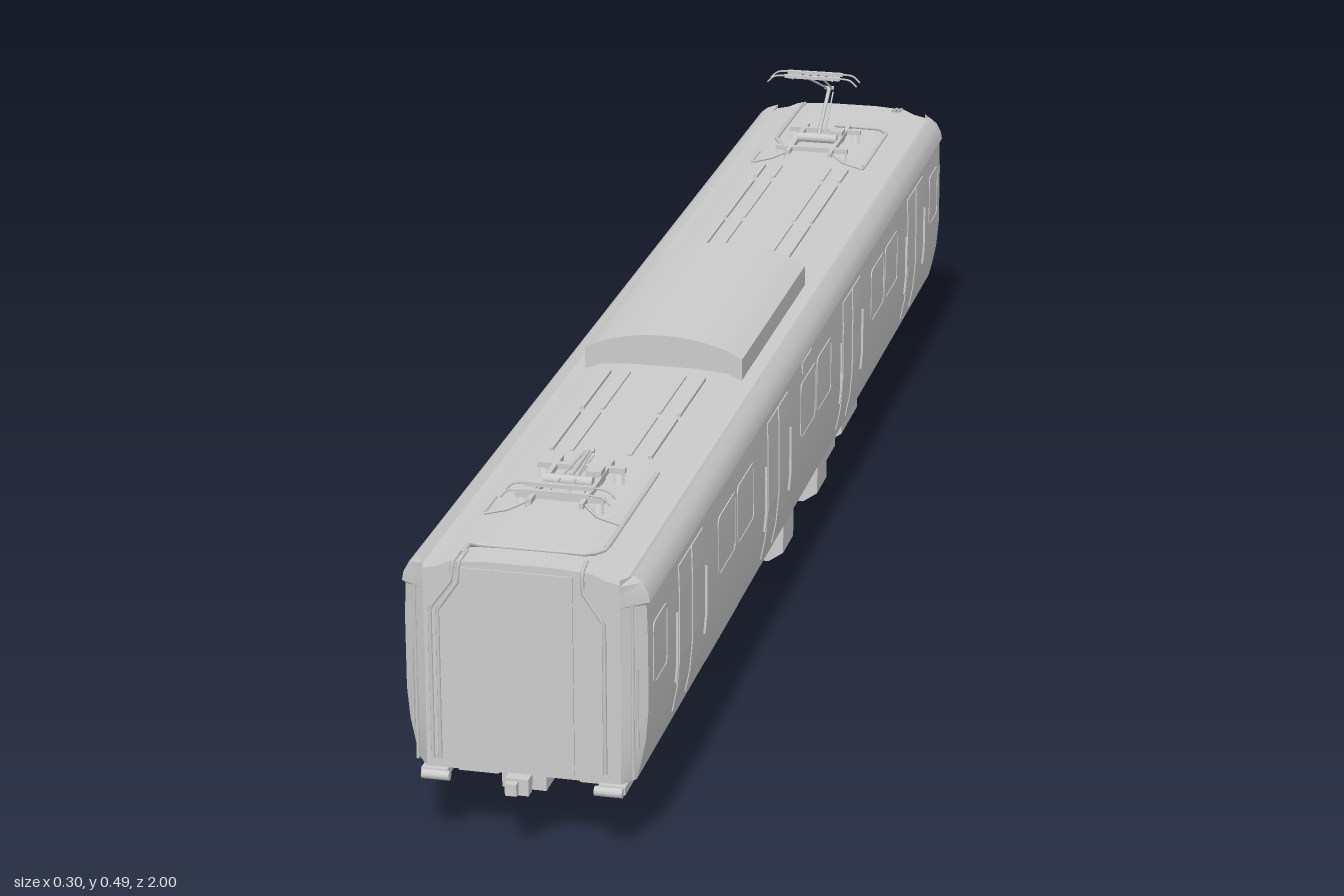
import * as THREE from 'three';
import { toCreasedNormals } from 'three/addons/utils/BufferGeometryUtils.js';

const mat = new THREE.MeshStandardMaterial({ color: 0xcccccc, side: THREE.DoubleSide });

// Right half of the body cross-section, bottom to top
const HALF = [[0.132, 0.095], [0.137, 0.115], [0.143, 0.145], [0.1465, 0.185], [0.1465, 0.27], [0.145, 0.318],
  [0.149, 0.321], [0.147, 0.332], [0.14, 0.345], [0.13, 0.353], [0.122, 0.347], [0.1, 0.351], [0.085, 0.358], [0.04, 0.361]];

function sideX(y) {
  for (let i = 0; i < 5; i++) {
    const [a, b] = [HALF[i], HALF[i + 1]];
    if (y <= b[1]) return a[0] + (b[0] - a[0]) * (y - a[1]) / (b[1] - a[1]);
  }
  return HALF[5][0];
}

function add(parent, name, geo, x = 0, y = 0, z = 0) {
  const m = new THREE.Mesh(geo, mat);
  m.name = name;
  m.position.set(x, y, z);
  parent.add(m);
  return m;
}
// Box given by its limits
function box(parent, name, x0, x1, y0, y1, z0, z1) {
  return add(parent, name, new THREE.BoxGeometry(x1 - x0, y1 - y0, z1 - z0), (x0 + x1) / 2, (y0 + y1) / 2, (z0 + z1) / 2);
}
function group(parent, name, z = 0) {
  const g = new THREE.Group();
  g.name = name;
  g.position.z = z;
  parent.add(g);
  return g;
}
const shapeOf = pts => new THREE.Shape(pts.map(p => new THREE.Vector2(p[0], p[1])));
function extrude(pts, z0, z1, steps = 1) {
  const g = new THREE.ExtrudeGeometry(shapeOf(pts), { depth: z1 - z0, bevelEnabled: false, steps });
  return g.translate(0, 0, z0);
}
// Straight-segment pipe through points
function pipe(parent, name, r, pts) {
  const path = new THREE.CurvePath();
  const v = pts.map(p => new THREE.Vector3(...p));
  for (let i = 0; i < v.length - 1; i++) path.add(new THREE.LineCurve3(v[i], v[i + 1]));
  return add(parent, name, new THREE.TubeGeometry(path, (v.length - 1) * 8, r, 6));
}
const discX = (r, w, n = 24) => new THREE.CylinderGeometry(r, r, w, n).rotateZ(Math.PI / 2);

// Body shell with chamfered ends
function body(root) {
  const pts = [...HALF, ...HALF.slice().reverse().map(([x, y]) => [-x, y])];
  const g = extrude(pts, 0, 3, 3);
  const p = g.attributes.position;
  const levels = [-0.967, -0.948, 0.948, 0.967];
  for (let i = 0; i < p.count; i++) {
    const k = Math.round(p.getZ(i));
    p.setZ(i, levels[k]);
    if (k === 0 || k === 3) p.setX(i, THREE.MathUtils.clamp(p.getX(i), -0.118, 0.118));
  }
  add(root, 'bodyShell', toCreasedNormals(g, 0.45));
}

// Thin strip following the curve of the side wall
function sideStrip(parent, name, s, z0, z1, y0, y1, t = 0.0015) {
  const ys = [y0, ...HALF.map(p => p[1]).filter(y => y > y0 && y < y1), y1];
  const pts = [...ys.map(y => [s * (sideX(y) + t), y]), ...ys.reverse().map(y => [s * (sideX(y) - 0.002), y])];
  add(parent, name, extrude(pts, z0, z1));
}
function windowFrame(parent, s, z0, z1, y0 = 0.205, y1 = 0.285) {
  const round = (o, a, b, c, d, r) => {
    o.moveTo(a + r, c); o.lineTo(b - r, c); o.quadraticCurveTo(b, c, b, c + r);
    o.lineTo(b, d - r); o.quadraticCurveTo(b, d, b - r, d);
    o.lineTo(a + r, d); o.quadraticCurveTo(a, d, a, d - r);
    o.lineTo(a, c + r); o.quadraticCurveTo(a, c, a + r, c);
    return o;
  };
  const f = round(new THREE.Shape(), z0, z1, y0, y1, 0.012);
  f.holes.push(round(new THREE.Path(), z0 + 0.003, z1 - 0.003, y0 + 0.003, y1 - 0.003, 0.01));
  const g = new THREE.ExtrudeGeometry(f, { depth: 0.002, bevelEnabled: false, curveSegments: 4 }).rotateY(-Math.PI / 2);
  add(parent, 'windowFrame', g, s * 0.1465 + 0.001);
}
function sides(root) {
  for (const s of [-1, 1]) {
    const g = group(root, s > 0 ? 'leftSide' : 'rightSide');
    for (const z of [-0.735, -0.245, 0.245, 0.735]) {
      for (const d of [-1, 1]) {
        const a = z + d * 0.001, b = z + d * 0.062;
        sideStrip(g, 'doorLeaf', s, Math.min(a, b), Math.max(a, b), 0.115, 0.305);
        sideStrip(g, 'doorHandrail', s, z + d * 0.075 - 0.0015, z + d * 0.075 + 0.0015, 0.16, 0.25, 0.003);
        windowFrame(g, s, z + d * 0.03 - 0.02, z + d * 0.03 + 0.02, 0.2, 0.28);
      }
      sideStrip(g, 'doorSeal', s, z - 0.0015, z + 0.0015, 0.115, 0.305, 0.003);
    }
    for (const z of [-0.49, 0, 0.49]) for (const d of [-0.053, 0.053]) windowFrame(g, s, z + d - 0.049, z + d + 0.049);
    for (const z of [-0.89, 0.89]) windowFrame(g, s, z - 0.035, z + 0.035);
    sideStrip(g, 'destinationPanel', s, 0.03, 0.09, 0.297, 0.312);
  }
}

// Roof cooling unit and ribbed walkways
function roof(root) {
  const pts = [[-0.105, 0.348], [0.105, 0.348], [0.105, 0.378]];
  for (let i = 1; i <= 16; i++) {
    const t = i / 8 - 1;
    pts.push([-0.1 * t, 0.403 - 0.021 * Math.abs(t) ** 2.2]);
  }
  pts.push([-0.105, 0.378]);
  add(root, 'coolingUnit', toCreasedNormals(extrude(pts, -0.12, 0.275), 0.5));
  const g = group(root, 'roofWalkways');
  for (const [z0, z1] of [[-0.62, -0.56], [-0.54, -0.36], [-0.345, -0.165], [0.31, 0.45], [0.465, 0.6]])
    for (const x of [-0.063, -0.037, 0.037, 0.063]) {
      box(g, 'walkwayRail', x - 0.0025, x + 0.0025, 0.357, 0.3635, z0, z1);
    }
}

// End wall panel, rails, cables and coupler; built for +z and turned for the back
function endWall(root, turn) {
  const g = group(root, turn ? 'backEnd' : 'frontEnd');
  g.rotation.y = turn;
  box(g, 'gangwayPanel', -0.075, 0.062, 0.1, 0.352, 0.96, 0.969);
  for (const s of [-1, 1]) {
    pipe(g, 'cornerRail', 0.002, [[s * 0.131, 0.1, 0.96], [s * 0.131, 0.322, 0.96]]);
    pipe(g, 'grabRail', 0.0018, [[s * 0.136, 0.14, 0.958], [s * 0.136, 0.24, 0.958]]);
    pipe(g, 'endCable', 0.0025, [[s * 0.072, 0.362, 0.94], [s * 0.074, 0.358, 0.97], [s * 0.075, 0.335, 0.971],
      [s * 0.1, 0.298, 0.971], [s * 0.1, 0.108, 0.971]]);
    box(g, 'stepBracket', s * 0.108 - 0.016, s * 0.108 + 0.016, 0.084, 0.094, 0.93, 0.972);
    add(g, 'stepRoller', discX(0.006, 0.034, 12), s * 0.105, 0.088, 0.975);
    box(g, 'endEquipment', s * 0.075 - 0.025, s * 0.075 + 0.025, 0.06, 0.096, 0.85, 0.9);
  }
  pipe(g, 'outerCable', 0.0025, [[-0.079, 0.362, 0.94], [-0.081, 0.358, 0.97], [-0.082, 0.337, 0.971],
    [-0.109, 0.3, 0.971], [-0.109, 0.108, 0.971]]);
  box(g, 'couplerMount', -0.027, 0.027, 0.076, 0.098, 0.93, 0.965);
  box(g, 'couplerShank', -0.01, 0.01, 0.082, 0.096, 0.955, 0.985);
  box(g, 'couplerHead', -0.016, 0.012, 0.079, 0.1, 0.975, 0.99);
  box(g, 'couplerKnuckle', -0.014, 0.0, 0.082, 0.097, 0.988, 1.0);
}

// Bogie with wheels, frames, air springs and bolster
function bogie(root, z) {
  const b = group(root, z > 0 ? 'frontBogie' : 'backBogie', z);
  const wheel = new THREE.LatheGeometry([[0.008, -0.004], [0.034, -0.003], [0.039, -0.0035], [0.0385, 0.002], [0.0425, 0.003],
    [0.0425, 0.0055], [0.034, 0.0055], [0.008, 0.0045]].map(p => new THREE.Vector2(...p)), 28).rotateZ(Math.PI / 2);
  const frame = [[-0.145, 0.054], [-0.145, 0.064], [-0.12, 0.072], [-0.08, 0.069], [-0.045, 0.056], [0.045, 0.056],
    [0.08, 0.069], [0.12, 0.072], [0.145, 0.064], [0.145, 0.054], [0.08, 0.051], [0.05, 0.037], [-0.05, 0.037], [-0.08, 0.051]];
  for (const a of [-0.104, 0.104]) {
    add(b, 'axle', discX(0.007, 0.17, 14), 0, 0.0435, a);
    for (const s of [-1, 1]) {
      const w = add(b, 'wheel', toCreasedNormals(wheel.clone(), 0.6), s * 0.056, 0.0435, a);
      w.rotation.y = s > 0 ? 0 : Math.PI;
      add(b, 'axleBox', discX(0.014, 0.018, 16), s * 0.083, 0.0435, a);
      box(b, 'axleBoxSpring', s * 0.083 - 0.008, s * 0.083 + 0.008, 0.045, 0.08, a - 0.012, a + 0.012);
    }
    add(b, 'tractionMotor', discX(0.016, 0.075, 16), 0, 0.052, a * 0.62);
  }
  for (const s of [-1, 1]) {
    const g = extrude(frame, -0.008, 0.008).rotateY(Math.PI / 2);
    add(b, 'sideFrame', g, s * 0.083);
    add(b, 'airSpring', new THREE.CylinderGeometry(0.022, 0.024, 0.02, 20), s * 0.09, 0.086, 0);
    box(b, 'springSeat', s * 0.09 - 0.018, s * 0.09 + 0.018, 0.054, 0.077, -0.024, 0.024);
    pipe(b, 'damper', 0.004, [[s * 0.1, 0.075, -0.06], [s * 0.1, 0.075, 0.06]]);
  }
  box(b, 'bolster', -0.085, 0.085, 0.052, 0.074, -0.025, 0.025);
  add(b, 'centrePivot', new THREE.CylinderGeometry(0.02, 0.02, 0.03, 16), 0, 0.085, 0);
}

// Underfloor equipment: side, z limits, bottom, outer width
function underfloor(root) {
  const g = group(root, 'underfloorEquipment');
  const list = [[1, 0.295, 0.48, 0.028, 0.105], [1, 0.175, 0.28, 0.068, 0.105], [1, 0.055, 0.12, 0.034, 0.128],
    [1, -0.17, -0.105, 0.034, 0.128], [1, -0.28, -0.195, 0.04, 0.118], [1, -0.43, -0.315, 0.045, 0.12], [1, -0.485, -0.455, 0.06, 0.1],
    [-1, 0.31, 0.42, 0.045, 0.115], [-1, 0.19, 0.27, 0.068, 0.11], [-1, 0.0, 0.12, 0.03, 0.12], [-1, -0.16, -0.03, 0.035, 0.12],
    [-1, -0.28, -0.2, 0.045, 0.11], [-1, -0.42, -0.33, 0.05, 0.115]];
  for (const [s, z0, z1, y, x] of list) {
    const pts = [[s * 0.04, 0.097], [s * 0.04, y], [s * (x - 0.02), y], [s * x, y + 0.014], [s * x, 0.097]];
    add(g, 'equipmentCase', extrude(pts, z0, z1));
  }
  box(g, 'centreCase', -0.035, 0.035, 0.055, 0.097, -0.1, 0.05);
}

// Current collector: base frame with insulators, then raised or folded arms
function collector(root, z, raised) {
  const g = group(root, raised ? 'raisedCollector' : 'foldedCollector', z);
  for (const s of [-1, 1]) {
    box(g, 'baseRail', s * 0.032 - 0.003, s * 0.032 + 0.003, 0.374, 0.381, -0.075, 0.075);
    box(g, 'crossRail', -0.055, 0.055, 0.374, 0.381, s * 0.05 - 0.004, s * 0.05 + 0.004);
    for (const d of [-0.05, 0.05])
      for (const h of [0, 1, 2]) add(g, 'insulator', new THREE.CylinderGeometry(0.004, 0.007, 0.005, 10), s * 0.047, 0.362 + h * 0.005, d);
    pipe(g, 'baseCable', 0.002, [[s * 0.03, 0.377, 0.06], [s * 0.055, 0.37, 0.085], [s * 0.085, 0.362, 0.085], [s * 0.085, 0.362, 0.03]]);
  }
  add(g, 'springCylinder', discX(0.007, 0.06, 12), 0, 0.383, 0.01);
  box(g, 'driveUnit', 0.015, 0.034, 0.37, 0.388, -0.035, -0.012);
  // Heights of pivot, knee and contact head
  const pivot = [0, 0.385, 0.0], knee = raised ? [0, 0.437, -0.078] : [0, 0.386, -0.085], head = raised ? [0, 0.486, 0.04] : [0, 0.387, 0.06];
  pipe(g, 'lowerArm', 0.003, [pivot, knee]);
  pipe(g, 'controlRod', 0.0012, [[0.006, 0.38, -0.015], [0.006, knee[1] - 0.006, knee[2]]]);
  add(g, 'kneeJoint', discX(0.003, 0.014, 10), ...knee);
  for (const s of [-1, 1]) {
    pipe(g, 'upperArm', 0.0016, [[s * 0.004, knee[1], knee[2]], [s * 0.012, head[1], head[2]]]);
    const y = head[1] + 0.004, d = head[2] + s * 0.012;
    const path = new THREE.CatmullRomCurve3([[-0.068, y - 0.011], [-0.058, y - 0.002], [-0.045, y], [0.045, y], [0.058, y - 0.002], [0.068, y - 0.011]]
      .map(p => new THREE.Vector3(p[0], p[1], d)));
    add(g, 'contactHorn', new THREE.TubeGeometry(path, 30, 0.0014, 6));
    box(g, 'contactStrip', -0.042, 0.042, y - 0.003, y + 0.002, d - 0.003, d + 0.003);
    box(g, 'headLink', s * 0.03 - 0.0015, s * 0.03 + 0.0015, y - 0.005, y - 0.002, head[2] - 0.012, head[2] + 0.012);
  }
}

export function createModel() {
  const root = new THREE.Group();
  root.name = 'railCar';
  body(root);
  sides(root);
  roof(root);
  endWall(root, 0);
  endWall(root, Math.PI);
  bogie(root, 0.678);
  bogie(root, -0.692);
  underfloor(root);
  collector(root, 0.74, false);
  collector(root, -0.715, true);
  // Roof cables from the collectors to the ends
  pipe(root, 'roofCable', 0.003, [[0.085, 0.362, 0.65], [0.085, 0.362, 0.9], [0.072, 0.362, 0.92], [-0.075, 0.362, 0.92], [-0.075, 0.362, 0.95]]);
  pipe(root, 'roofCable', 0.003, [[0.0, 0.364, -0.84], [0.07, 0.363, -0.84], [0.085, 0.362, -0.82], [0.085, 0.362, -0.64]]);
  pipe(root, 'roofCable', 0.003, [[-0.075, 0.362, -0.95], [-0.075, 0.362, -0.76], [-0.05, 0.363, -0.7]]);
  return root;
}
